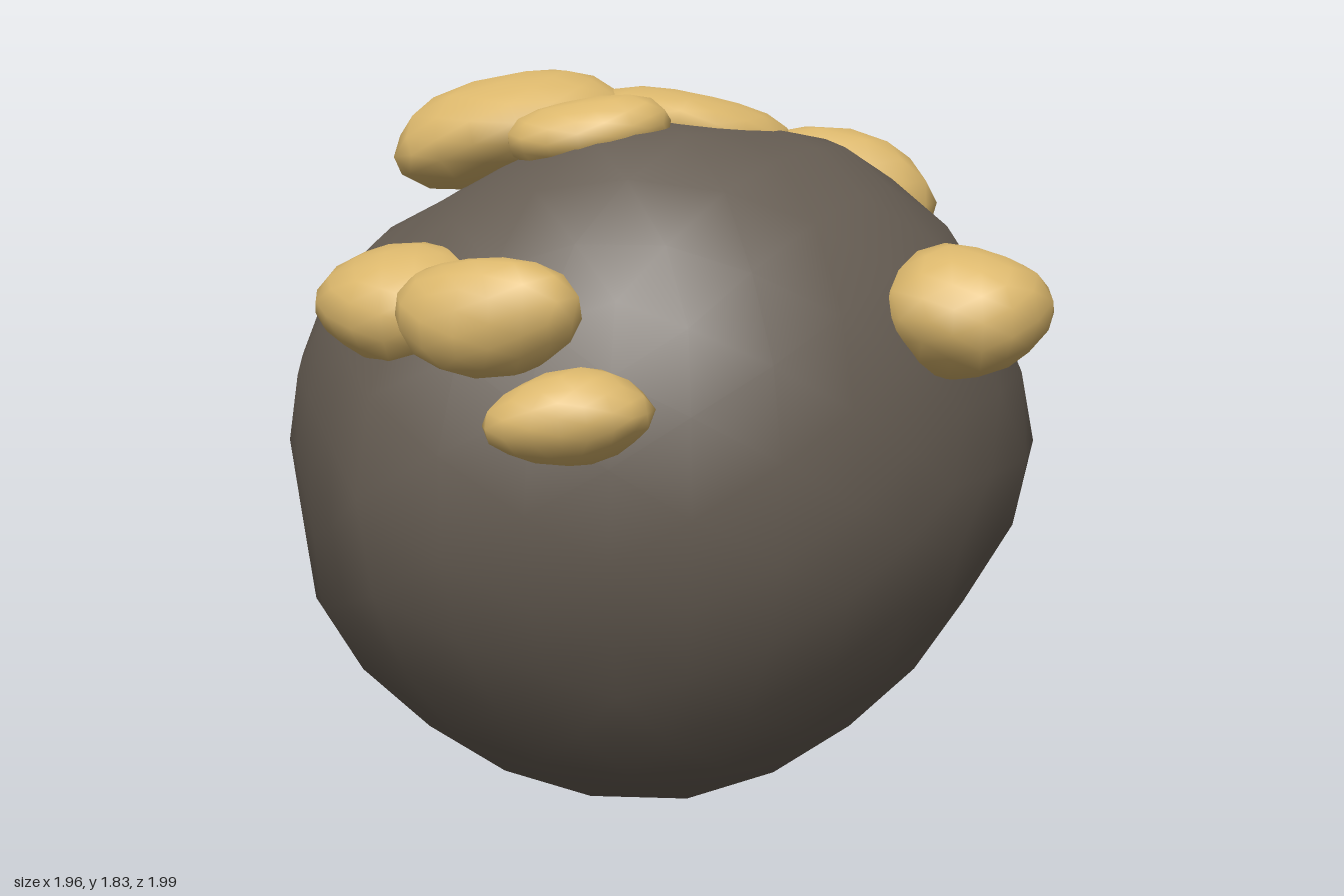
import * as THREE from 'three';
import { mergeVertices } from 'three/addons/utils/BufferGeometryUtils.js';

const CENTRE_Y = 0.88;

// Outlines of the boulder in its three main planes
const FRONT = [ // x, y
  [0.12, 0.01], [0.39, 0.09], [0.57, 0.23], [0.71, 0.37], [0.8, 0.52], [0.985, 0.89], [0.9, 1.13], [0.74, 1.44],
  [0.58, 1.57], [0.43, 1.67], [0.25, 1.69], [0.07, 1.73], [-0.3, 1.62], [-0.55, 1.5], [-0.8, 1.35], [-0.94, 1.12],
  [-0.99, 0.9], [-0.94, 0.66], [-0.91, 0.43], [-0.75, 0.25], [-0.54, 0.11], [-0.34, 0.02],
];
const SIDE = [ // z, y
  [0.36, 0.005], [0.6, 0.2], [0.77, 0.48], [0.86, 0.68], [0.88, 0.9], [0.86, 1.1], [0.77, 1.33], [0.6, 1.57],
  [0.5, 1.67], [0.34, 1.73], [0.05, 1.69], [-0.4, 1.68], [-0.6, 1.62], [-0.92, 1.32], [-1, 0.9], [-0.97, 0.68],
  [-0.92, 0.48], [-0.77, 0.32], [-0.46, 0.06], [-0.05, 0.01],
];
const TOP = [ // x, z
  [-0.99, -0.07], [-0.88, -0.35], [-0.7, -0.55], [-0.35, -0.93], [-0.1, -0.98], [0.2, -1], [0.35, -0.96], [0.66, -0.62],
  [0.82, -0.4], [0.92, -0.2], [0.985, -0.06], [0.88, 0.2], [0.65, 0.6], [0.45, 0.78], [0.2, 0.87], [0, 0.87],
  [-0.4, 0.85], [-0.62, 0.77], [-0.75, 0.55], [-0.9, 0.22],
];

// Turns an outline into a function: angle -> radius
function polar(points, cy) {
  const list = points
    .map(([u, v]) => ({ a: Math.atan2(v - cy, u), r: Math.hypot(u, v - cy) }))
    .sort((p, q) => p.a - q.a);
  const first = list[0], last = list[list.length - 1];
  list.unshift({ a: last.a - 2 * Math.PI, r: last.r });
  list.push({ a: first.a + 2 * Math.PI, r: first.r });
  return (u, v) => {
    const a = Math.atan2(v, u);
    let i = 1;
    while (i < list.length - 1 && list[i].a < a) i++;
    const p = list[i - 1], q = list[i];
    return THREE.MathUtils.lerp(p.r, q.r, (a - p.a) / (q.a - p.a));
  };
}

// Smooth ball whose vertices are moved by a rule
function shapedBall(detail, rule) {
  let geometry = new THREE.IcosahedronGeometry(1, detail);
  geometry.deleteAttribute('uv');
  geometry.deleteAttribute('normal');
  geometry = mergeVertices(geometry, 1e-4);
  const position = geometry.attributes.position;
  const v = new THREE.Vector3();
  for (let i = 0; i < position.count; i++) {
    v.fromBufferAttribute(position, i).normalize();
    rule(v);
    position.setXYZ(i, v.x, v.y, v.z);
  }
  geometry.computeVertexNormals();
  return geometry;
}

// Boulder: radius blended from the three outlines, nearest plane first
function boulderGeometry() {
  const front = polar(FRONT, CENTRE_Y), side = polar(SIDE, CENTRE_Y), top = polar(TOP, 0);
  const geometry = shapedBall(4, (v) => {
    const wf = 1 / (v.z * v.z + 0.02), ws = 1 / (v.x * v.x + 0.02), wt = 1 / (v.y * v.y + 0.02);
    const r = (wf * front(v.x, v.y) + ws * side(v.z, v.y) + wt * top(v.x, v.z)) / (wf + ws + wt);
    v.multiplyScalar(r);
    v.y = Math.max(v.y + CENTRE_Y, 0);
  });
  return geometry;
}

// Nugget: uneven faceted lump, turned and fitted to a given size
function nuggetGeometry(size, turn, seed) {
  const euler = new THREE.Euler(...turn);
  const geometry = shapedBall(2, (v) => {
    const bump = Math.sin(3.1 * v.x + seed * 1.7) * Math.cos(2.7 * v.y - seed)
      + 0.6 * Math.sin(4.3 * v.z + 2.1 * v.x + seed * 2.3);
    v.multiplyScalar(1 + 0.07 * bump);
    v.set(v.x * size[0], v.y * size[1], v.z * size[2]).applyEuler(euler);
  });
  geometry.center();
  geometry.computeBoundingBox();
  const actual = geometry.boundingBox.getSize(new THREE.Vector3());
  geometry.scale(size[0] / actual.x, size[1] / actual.y, size[2] / actual.z);
  geometry.computeVertexNormals();
  return geometry;
}

// centre, full size, turn
const NUGGETS = [
  { name: 'topLargeNugget', at: [-0.36, 1.68, 0.03], size: [0.6, 0.3, 0.47], turn: [0, 0.2, 0.25] },
  { name: 'topNugget', at: [0.07, 1.69, -0.05], size: [0.52, 0.2, 0.46], turn: [0, 0.4, -0.15] },
  { name: 'topFrontNugget', at: [-0.13, 1.695, 0.29], size: [0.39, 0.18, 0.28], turn: [0.1, 0, 0.15] },
  { name: 'frontOuterNugget', at: [-0.52, 1.3, 0.56], size: [0.46, 0.3, 0.41], turn: [0, -0.5, 0.1] },
  { name: 'frontMiddleNugget', at: [-0.29, 1.31, 0.75], size: [0.44, 0.27, 0.3], turn: [0, -0.3, 0] },
  { name: 'frontLowNugget', at: [-0.085, 1.11, 0.88], size: [0.38, 0.22, 0.24], turn: [0, 0, 0.1] },
  { name: 'leftNugget', at: [0.78, 1.285, 0.37], size: [0.41, 0.32, 0.43], turn: [0, 0.6, 0] },
  { name: 'backTopNugget', at: [0.38, 1.475, -0.75], size: [0.64, 0.35, 0.46], turn: [0, -0.3, -0.1] },
  { name: 'backLowNugget', at: [-0.57, 0.69, -0.73], size: [0.52, 0.4, 0.45], turn: [0, 0.5, 0] },
];

export function createModel() {
  const stone = new THREE.MeshStandardMaterial({ color: 0x665d53 });
  stone.name = 'stone';
  const gold = new THREE.MeshStandardMaterial({ color: 0xdbb76c });
  gold.name = 'gold';

  const model = new THREE.Group();
  model.name = 'goldOreBoulder';

  const boulder = new THREE.Mesh(boulderGeometry(), stone);
  boulder.name = 'boulder';
  model.add(boulder);

  NUGGETS.forEach(({ name, at, size, turn }, i) => {
    const nugget = new THREE.Mesh(nuggetGeometry(size, turn, i + 1), gold);
    nugget.name = name;
    nugget.position.set(...at);
    model.add(nugget);
  });
  return model;
}
